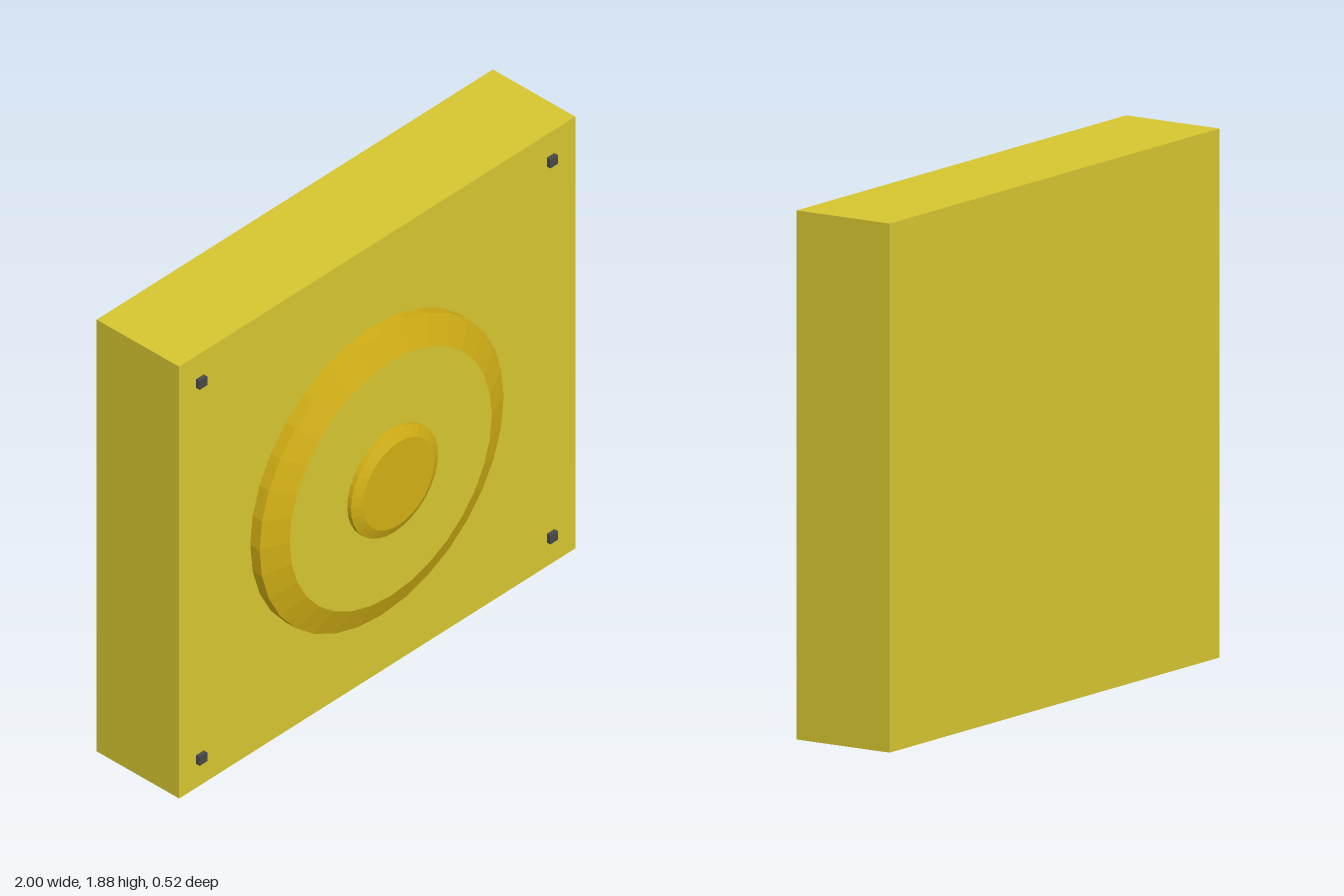
import * as THREE from 'three';

const SIDES = 32;

function material(name, color) {
  const m = new THREE.MeshStandardMaterial({ color });
  m.name = name;
  return m;
}

export function createModel() {
  const yellow = material('yellow', 0xd4c430);
  const gold = material('gold', 0xd0ae14);
  const charcoal = material('charcoal', 0x484848);
  const model = new THREE.Group();

  function add(parent, name, geometry, mat, x, y, z) {
    const mesh = new THREE.Mesh(geometry, mat);
    mesh.name = name;
    mesh.position.set(x, y, z);
    parent.add(mesh);
    return mesh;
  }

  // Faceted bevelled disc facing +z: profile of [radius, z], closed by a flat face
  function bevelledDisc(name, profile, faceMaterial, x, y) {
    const group = new THREE.Group();
    group.name = name;
    const points = profile.map(([r, z]) => new THREE.Vector2(r, z));
    const rim = new THREE.LatheGeometry(points, SIDES).rotateX(Math.PI / 2).toNonIndexed();
    rim.computeVertexNormals();
    add(group, name + 'Rim', rim, gold, 0, 0, 0);
    const [r, z] = profile[profile.length - 1];
    const face = new THREE.CircleGeometry(r, SIDES);
    add(group, name + 'Face', face, faceMaterial, 0, 0, z);
    group.position.set(x, y, 0);
    model.add(group);
  }

  // Square casing
  add(model, 'casing', new THREE.BoxGeometry(2, 1.88, 0.396), yellow, 0, 0.94, -0.062);

  // Large raised disc and the small knob on it
  bevelledDisc('disc', [[0.616, 0.13], [0.616, 0.181], [0.51, 0.225]], yellow, -0.025, 0.908);
  bevelledDisc('knob', [[0.22, 0.22], [0.22, 0.243], [0.18, 0.262]], gold, -0.025, 0.905);

  // Corner studs
  for (const x of [-0.895, 0.875]) {
    for (const y of [0.123, 1.76]) {
      add(model, 'cornerStud', new THREE.BoxGeometry(0.038, 0.038, 0.02), charcoal, x, y, 0.143);
    }
  }

  return model;
}
